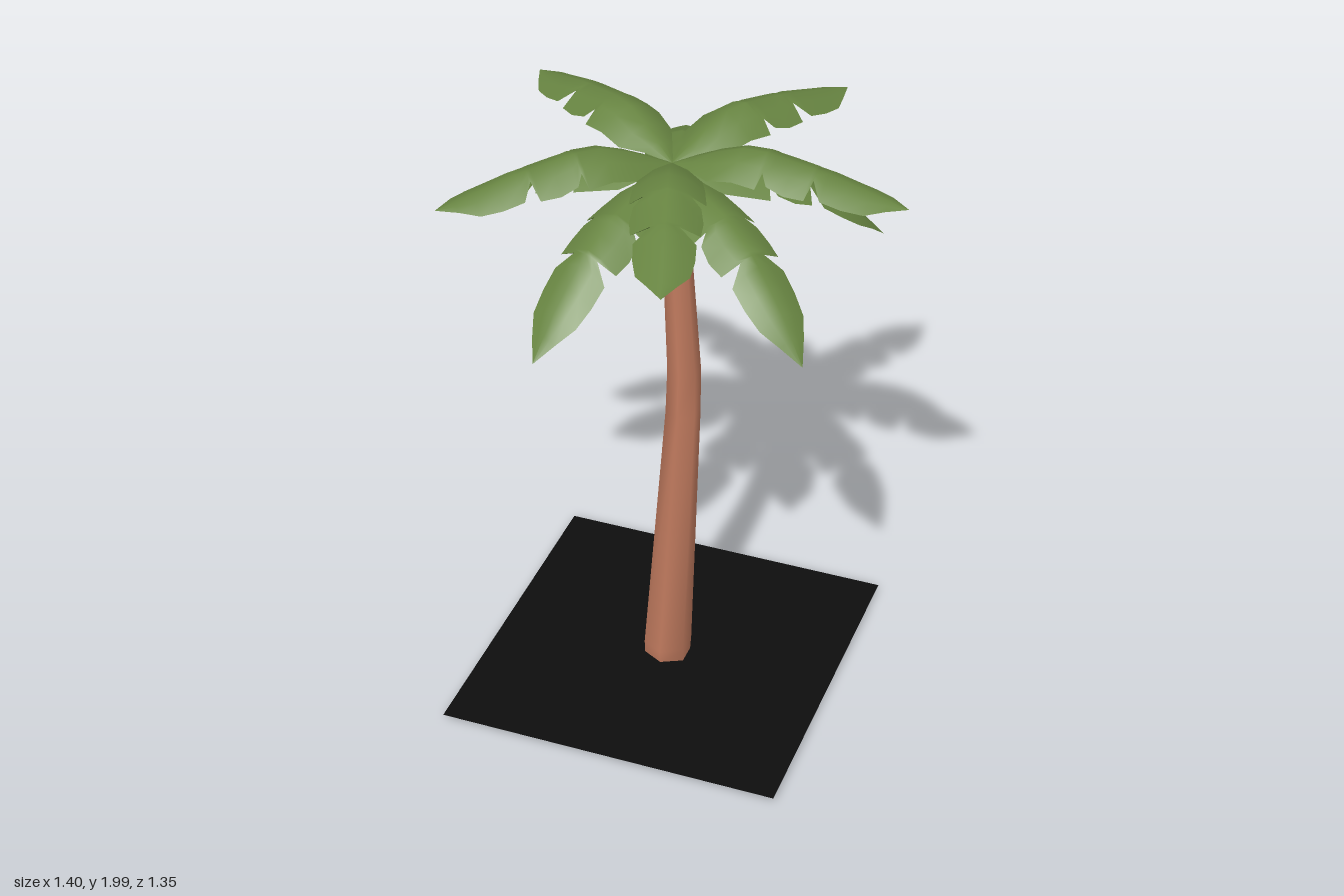
import * as THREE from 'three';
import { mergeVertices } from 'three/addons/utils/BufferGeometryUtils.js';

const mat = (name, color, side = THREE.FrontSide) => {
  const m = new THREE.MeshStandardMaterial({ color, side });
  m.name = name;
  return m;
};

// Linear interpolation through [key, value] pairs
function sample(points, t) {
  for (let i = 1; i < points.length; i++) {
    const [a, va] = points[i - 1], [b, vb] = points[i];
    if (t <= b) return va + (vb - va) * (t - a) / (b - a);
  }
  return points[points.length - 1][1];
}

// Half outline of a frond: [distance from crown, half width], with torn notches
const OUTLINE = [
  [0, 0.004], [0.07, 0.05], [0.14, 0.095], [0.22, 0.105], [0.295, 0.112],
  [0.305, 0.07], [0.325, 0.098], [0.38, 0.106], [0.44, 0.1], [0.452, 0.042],
  [0.485, 0.09], [0.55, 0.088], [0.615, 0.077], [0.67, 0.043], [0.73, 0],
];
// Height of the midrib along each kind of frond
const UPPER = [[0, 1.9], [0.12, 1.957], [0.2, 1.99], [0.27, 1.998], [0.48, 1.96], [0.73, 1.89]];
const LOWER = [[0, 1.875], [0.15, 1.875], [0.28, 1.855], [0.41, 1.8], [0.555, 1.69], [0.675, 1.55]];

// Arched leaf blade whose edges hang below the midrib
function frondGeometry(rib, length) {
  const cols = [-1, -0.5, 0, 0.5, 1], n = cols.length;
  const pos = [], index = [];
  OUTLINE.forEach(([r0, w], i) => {
    const r = r0 * length / 0.73;
    for (const c of cols) {
      const off = c * w;
      pos.push(r, sample(rib, r) - 4 * off * off - 0.12 * Math.abs(off), off);
    }
    if (i === 0) return;
    for (let j = 0; j < n - 1; j++) {
      const a = (i - 1) * n + j, b = a + n;
      index.push(a, a + 1, b, a + 1, b + 1, b);
    }
  });
  const g = new THREE.BufferGeometry();
  g.setAttribute('position', new THREE.Float32BufferAttribute(pos, 3));
  g.setIndex(index);
  g.computeVertexNormals();
  return g;
}

// Six-sided leaning trunk; rings run from top to bottom
function trunkGeometry() {
  const rings = [ // y, centre x, radius
    [1.87, -0.026, 0.04], [1.18, 0.011, 0.053], [1.02, 0.008, 0.056],
    [0.07, -0.045, 0.079], [0.011, -0.047, 0.078],
  ];
  const g = new THREE.CylinderGeometry(1, 1, 4, 6, 4, true);
  const p = g.attributes.position;
  for (let i = 0; i < p.count; i++) {
    const k = Math.round(2 - p.getY(i));
    const [y, cx, r] = rings[k];
    const last = k === 4;
    const dx = p.getX(i) * r;
    const dz = p.getZ(i) * r * (last ? 0.86 : 1);
    p.setXYZ(i, cx + dx, y - (last ? dx * 0.12 : 0), dz - 0.013);
  }
  g.deleteAttribute('uv');
  g.deleteAttribute('normal');
  const merged = mergeVertices(g, 1e-4);
  merged.computeVertexNormals();
  return merged;
}

export function createModel() {
  const model = new THREE.Group();
  model.name = 'palmTree';
  const bark = mat('bark', 0xc07a5e, THREE.DoubleSide);
  const leaf = mat('leaf', 0x688542, THREE.DoubleSide);
  const soil = mat('black ground', 0x0d0d0d, THREE.DoubleSide);

  // Ground sheet
  const ground = new THREE.Mesh(new THREE.PlaneGeometry(1.135, 1.135), soil);
  ground.name = 'groundSheet';
  ground.rotation.x = -Math.PI / 2;
  ground.position.set(-0.05, 0.02, -0.02);
  model.add(ground);

  // Trunk
  const trunk = new THREE.Mesh(trunkGeometry(), bark);
  trunk.name = 'trunk';
  model.add(trunk);

  // Two tiers of five fronds around the crown
  const tiers = [
    ['upperFrond', frondGeometry(UPPER, 0.73), [0, 72, 139, 215, 298]],
    ['lowerFrond', frondGeometry(LOWER, 0.675), [36, 106, 184, 256, 325]],
  ];
  const crown = new THREE.Group();
  crown.name = 'crown';
  crown.position.set(-0.03, 0, -0.018);
  for (const [name, geometry, angles] of tiers) {
    angles.forEach((deg, i) => {
      const frond = new THREE.Mesh(geometry, leaf);
      frond.name = name + (i + 1);
      frond.rotation.y = -THREE.MathUtils.degToRad(deg);
      crown.add(frond);
    });
  }
  model.add(crown);
  return model;
}
